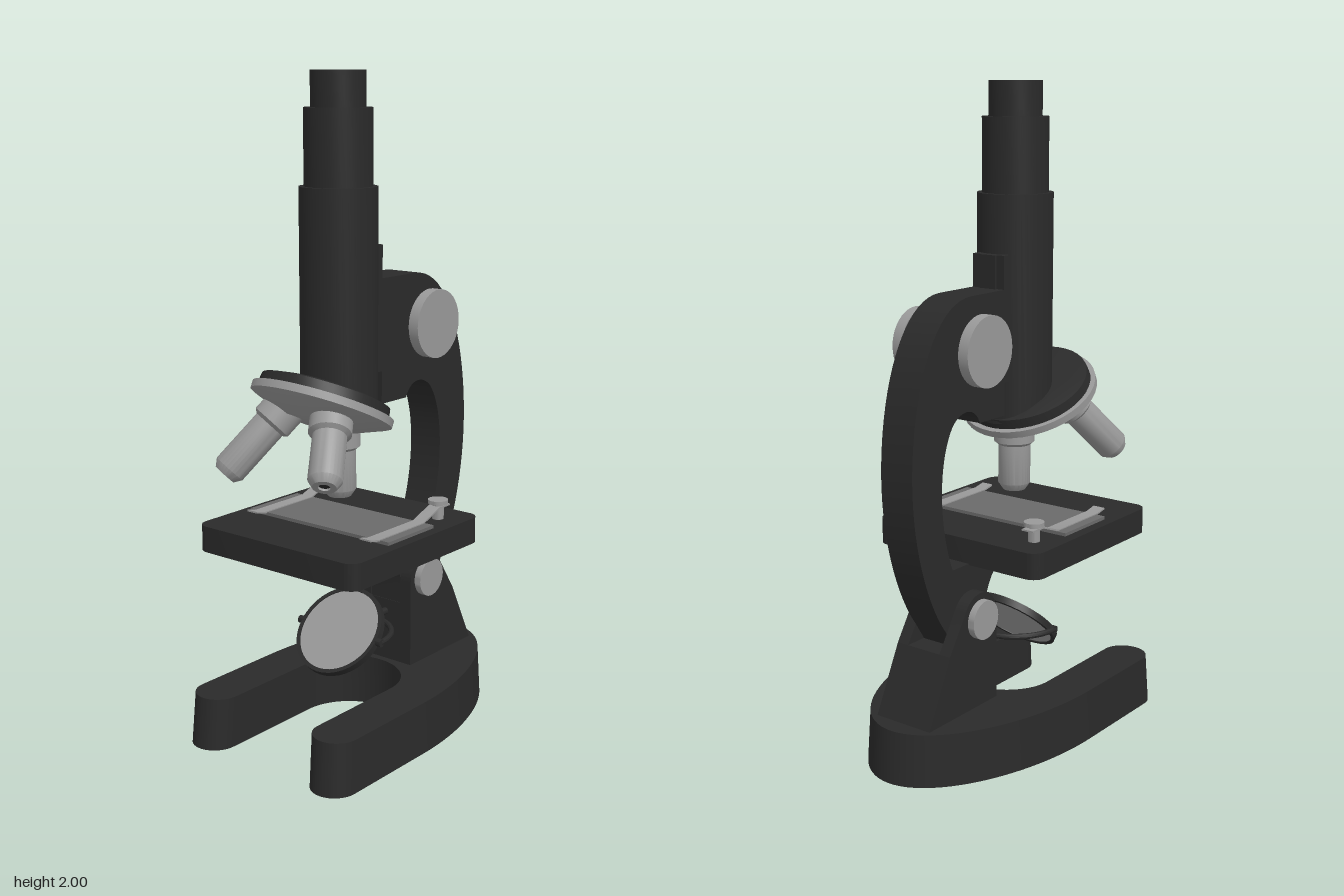
import * as THREE from 'three';
import { toCreasedNormals } from 'three/addons/utils/BufferGeometryUtils.js';

const dark = new THREE.MeshStandardMaterial({ color: 0x2a2a2a });
const metal = new THREE.MeshStandardMaterial({ color: 0x999999 });
const glass = new THREE.MeshStandardMaterial({ color: 0x6a6a6a });

const v2 = (pts) => pts.map(([x, y]) => new THREE.Vector2(x, y));

function add(parent, name, geo, mat, x = 0, y = 0, z = 0) {
  const mesh = new THREE.Mesh(toCreasedNormals(geo, 0.6), mat);
  mesh.name = name;
  mesh.position.set(x, y, z);
  parent.add(mesh);
  return mesh;
}

// Profile of [radius, height] pairs, listed from bottom to top
const lathe = (pts, seg = 40) => new THREE.LatheGeometry(v2(pts), seg);

// Side outline (x, y) extruded evenly about z = 0
function slab(shape, width) {
  const geo = new THREE.ExtrudeGeometry(shape, { depth: width, bevelEnabled: false, curveSegments: 20 });
  return geo.translate(0, 0, -width / 2);
}

// Plan outline extruded upward
function plate(shape, height) {
  const geo = new THREE.ExtrudeGeometry(shape, { depth: height, bevelEnabled: false, curveSegments: 24 });
  return geo.rotateX(-Math.PI / 2);
}

// Cylinder lying along z
const discZ = (r, w) => new THREE.CylinderGeometry(r, r, w, 40).rotateX(Math.PI / 2);

function buildBase(g) {
  const s = new THREE.Shape();
  s.moveTo(-0.428, -0.31);
  s.lineTo(-0.1, -0.31);
  s.bezierCurveTo(0.2, -0.31, 0.5, -0.17, 0.5, 0);
  s.bezierCurveTo(0.5, 0.17, 0.2, 0.31, -0.1, 0.31);
  s.lineTo(-0.428, 0.31);
  s.absarc(-0.428, 0.2375, 0.0725, Math.PI / 2, Math.PI * 1.5, false);
  s.lineTo(-0.08, 0.165);
  s.absarc(-0.08, 0, 0.165, Math.PI / 2, -Math.PI / 2, true);
  s.lineTo(-0.428, -0.165);
  s.absarc(-0.428, -0.2375, 0.0725, Math.PI / 2, Math.PI * 1.5, false);
  const geo = plate(s, 0.16);
  // Sides draw in slightly towards the top
  const p = geo.attributes.position;
  for (let i = 0; i < p.count; i++) {
    if (p.getY(i) > 0.1) p.setXYZ(i, p.getX(i) * 0.97, p.getY(i), p.getZ(i) * 0.985);
  }
  add(g, 'horseshoeBase', geo, dark);
}

function buildPillar(g) {
  // Solid foot below, two cheeks above that clasp the arm
  const foot = new THREE.Shape(v2([[0.105, 0.15], [0.433, 0.15], [0.33, 0.36], [0.105, 0.36]]));
  add(g, 'pillarFoot', slab(foot, 0.2), dark);
  const cheek = new THREE.Shape();
  cheek.moveTo(0.105, 0.36);
  cheek.lineTo(0.33, 0.36);
  cheek.lineTo(0.257, 0.472);
  cheek.absarc(0.185, 0.437, 0.08, 0.45, Math.PI, false);
  for (const side of [-1, 1]) {
    add(g, 'pillarCheek', slab(cheek, 0.04), dark, 0, 0, side * 0.08);
    add(g, 'tiltKnob', discZ(0.06, 0.024), metal, 0.185, 0.437, side * 0.11);
  }
}

function buildArm(g) {
  const s = new THREE.Shape();
  s.moveTo(0.01, 1.4);
  s.lineTo(0.01, 1.02);
  s.lineTo(0.13, 1.02);
  s.bezierCurveTo(0.155, 1.08, 0.225, 1.075, 0.26, 1.03);
  s.bezierCurveTo(0.325, 0.94, 0.325, 0.75, 0.262, 0.6);
  s.lineTo(-0.03, 0.6);
  s.bezierCurveTo(0.05, 0.575, 0.1, 0.52, 0.107, 0.437);
  s.lineTo(0.107, 0.355);
  s.lineTo(0.255, 0.355);
  s.lineTo(0.298, 0.42);
  s.bezierCurveTo(0.36, 0.5, 0.44, 0.68, 0.44, 0.9);
  s.bezierCurveTo(0.44, 1.14, 0.35, 1.4, 0.17, 1.4);
  add(g, 'arm', slab(s, 0.115), dark);
  // Focus knobs on a common shaft
  add(g, 'focusShaft', discZ(0.022, 0.22), metal, 0.185, 1.25, 0);
  for (const side of [-1, 1]) {
    add(g, 'focusKnob', discZ(0.105, 0.034), metal, 0.185, 1.25, side * 0.121);
  }
  // Sliding rack between arm and tube
  add(g, 'rackPlate', new THREE.BoxGeometry(0.04, 0.38, 0.115), dark, -0.007, 1.31, 0);
  add(g, 'rackRail', new THREE.BoxGeometry(0.04, 0.38, 0.06), dark, 0.001, 1.31, 0);
}

function buildTube(g) {
  const geo = lathe([
    [0.115, 1.0], [0.115, 1.675], [0.1, 1.675], [0.1, 1.897], [0.08, 1.897],
    [0.08, 2], [0.027, 2], [0.027, 1.97], [0, 1.97],
  ]);
  // Lower end cut on a slant to meet the nosepiece
  const p = geo.attributes.position;
  for (let i = 0; i < p.count; i++) {
    if (p.getY(i) < 1.1) p.setY(i, 1.04 - 0.488 * p.getX(i));
  }
  add(g, 'bodyTube', geo, dark, -0.12, 0, 0);
}

function buildNosepiece(g) {
  const tilt = THREE.MathUtils.degToRad(26);
  const nose = new THREE.Group();
  nose.name = 'nosepiece';
  nose.position.set(-0.12, 1.204, 0);
  nose.rotation.z = -tilt;
  g.add(nose);
  add(nose, 'nosepieceCap', lathe([[0.2, -0.168], [0.195, -0.135], [0.15, -0.125], [0, -0.125]]), dark);
  add(nose, 'turretRing', lathe([
    [0, -0.235], [0.1, -0.235], [0.2, -0.195], [0.215, -0.188], [0.215, -0.165], [0.19, -0.165],
  ]), metal);
  // Three objectives spread evenly about the turret axis
  [0.45, 0.5, 0.47].forEach((len, k) => {
    const objective = new THREE.Group();
    objective.name = 'objective';
    objective.rotation.set(0, k * Math.PI * 2 / 3, tilt);
    nose.add(objective);
    add(objective, 'objectiveBarrel', lathe([
      [0.018, 0.015 - len], [0.018, -len], [0.035, -len], [0.05, 0.022 - len],
      [0.05, -0.305], [0.063, -0.295], [0.063, -0.2],
    ], 28), metal);
    add(objective, 'objectiveLens', new THREE.CylinderGeometry(0.018, 0.018, 0.01, 20), dark, 0, 0.012 - len, 0);
  });
}

function buildStage(g) {
  const [x0, x1, z, r] = [-0.424, 0.185, 0.304, 0.04];
  const s = new THREE.Shape();
  s.absarc(x1 - r, z - r, r, 0, Math.PI / 2, false);
  s.absarc(x0 + r, z - r, r, Math.PI / 2, Math.PI, false);
  s.absarc(x0 + r, r - z, r, Math.PI, Math.PI * 1.5, false);
  s.absarc(x1 - r, r - z, r, Math.PI * 1.5, Math.PI * 2, false);
  const hole = new THREE.Path();
  hole.absarc(-0.12, 0, 0.06, 0, Math.PI * 2, true);
  s.holes.push(hole);
  add(g, 'stage', plate(s, 0.08), dark, 0, 0.596, 0);
  add(g, 'slide', new THREE.BoxGeometry(0.215, 0.01, 0.54), glass, -0.118, 0.681, 0);

  // Bent spring strip: upper line, then back along the lower one
  const line = [[-0.27, 0.697], [-0.23, 0.689], [-0.02, 0.689], [0.06, 0.718], [0.115, 0.718]];
  const strip = new THREE.Shape(v2([...line, ...line.map(([x, y]) => [x, y - 0.005]).reverse()]));
  for (const side of [-1, 1]) {
    add(g, 'stageClip', slab(strip, 0.04), metal, 0, 0, side * 0.22);
    add(g, 'clipScrew', lathe([
      [0.018, 0.67], [0.018, 0.72], [0.031, 0.724], [0.031, 0.736], [0, 0.736],
    ], 24), metal, 0.08, 0, side * 0.22);
  }
}

function buildMirror(g) {
  const mirror = new THREE.Group();
  mirror.name = 'mirror';
  mirror.position.set(-0.12, 0.32, 0);
  mirror.rotation.z = Math.PI / 4;
  g.add(mirror);
  add(mirror, 'mirrorRim', lathe([
    [0.135, -0.011], [0.147, -0.011], [0.147, 0.011], [0.135, 0.011], [0.135, -0.011],
  ]), dark);
  add(mirror, 'mirrorGlass', new THREE.CylinderGeometry(0.136, 0.136, 0.016, 40), metal);
  // Half-ring fork, its pivots and its stem
  const fork = new THREE.TorusGeometry(0.157, 0.009, 10, 32, Math.PI).rotateZ(-Math.PI / 2).rotateX(Math.PI / 2);
  add(g, 'mirrorFork', fork, dark, -0.12, 0.32, 0);
  for (const side of [-1, 1]) add(g, 'mirrorPivot', discZ(0.012, 0.022), dark, -0.12, 0.32, side * 0.152);
  add(g, 'forkStem', new THREE.CylinderGeometry(0.011, 0.011, 0.09, 16).rotateZ(Math.PI / 2), dark, 0.075, 0.32, 0);
}

export function createModel() {
  const model = new THREE.Group();
  model.name = 'microscope';
  [buildBase, buildPillar, buildArm, buildTube, buildNosepiece, buildStage, buildMirror].forEach((build) => build(model));
  return model;
}
